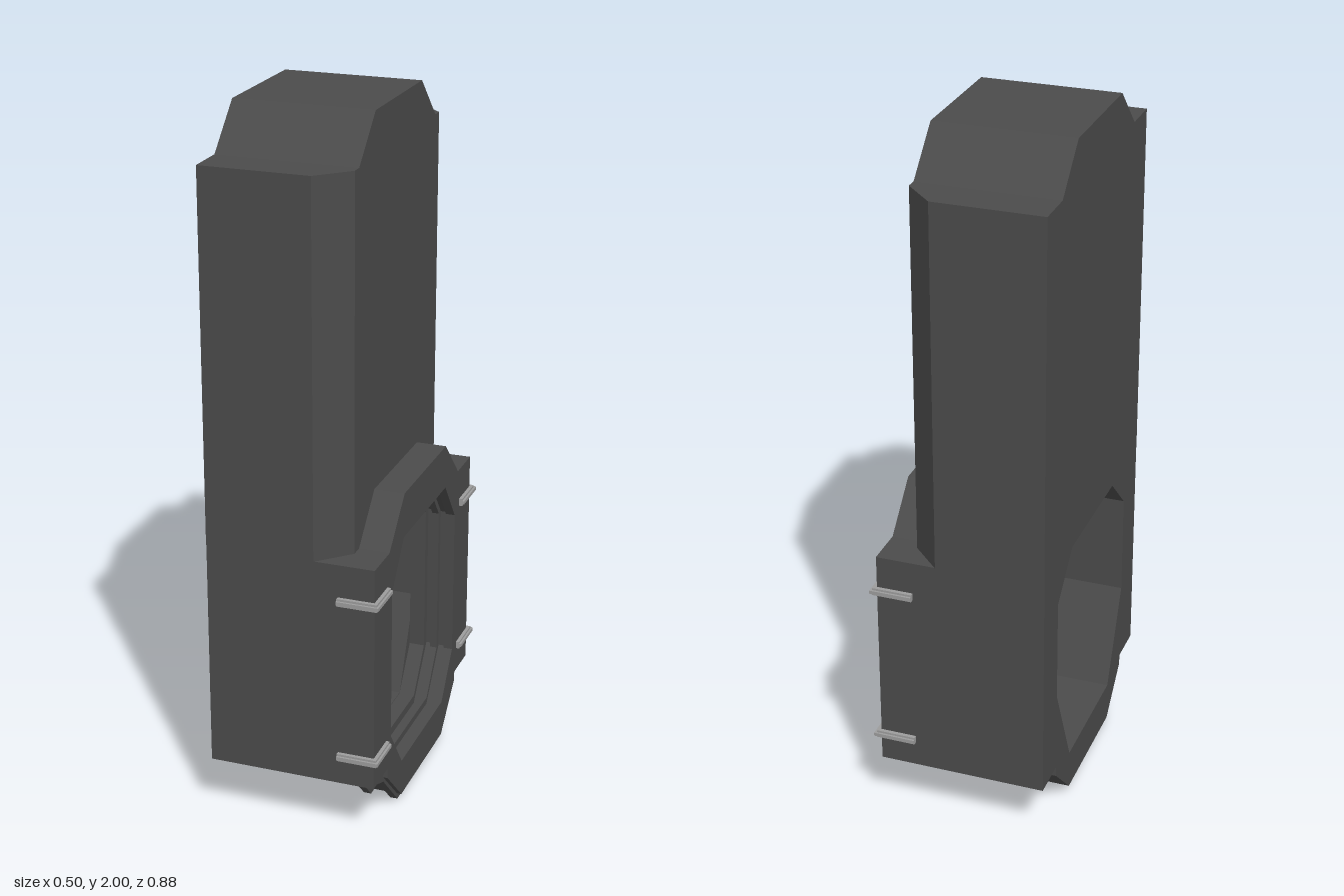
import * as THREE from 'three';

const bodyMat = new THREE.MeshStandardMaterial({ color: 0x4b4b4b });
bodyMat.name = 'dark grey';
const clipMat = new THREE.MeshStandardMaterial({ color: 0x9c9c9c });
clipMat.name = 'light grey';

// Full closed outline from the +z half, listed from bottom to top
const mirrored = (half) => [...half, ...half.map(([z, y]) => [-z, y]).reverse()];
const toPoints = (pts) => pts.map(([a, b]) => new THREE.Vector2(a, b));

// Extrude a symmetric (z, y) outline along x from x0 to x1
function slab(name, half, x0, x1, holeHalf) {
  const shape = new THREE.Shape(toPoints(mirrored(half)));
  if (holeHalf) shape.holes.push(new THREE.Path(toPoints(mirrored(holeHalf))));
  const geo = new THREE.ExtrudeGeometry(shape, { depth: x1 - x0, bevelEnabled: false });
  geo.rotateY(Math.PI / 2);
  geo.translate(x0, 0, 0);
  const mesh = new THREE.Mesh(geo, bodyMat);
  mesh.name = name;
  return mesh;
}

// Extrude an (x, z) plan upward from y0 to y1
function column(name, plan, y0, y1, mat) {
  const shape = new THREE.Shape(plan.map(([x, z]) => new THREE.Vector2(x, -z)));
  const geo = new THREE.ExtrudeGeometry(shape, { depth: y1 - y0, bevelEnabled: false });
  geo.rotateX(-Math.PI / 2);
  geo.translate(0, y0, 0);
  const mesh = new THREE.Mesh(geo, mat);
  mesh.name = name;
  return mesh;
}

export function createModel() {
  const model = new THREE.Group();
  model.name = 'housing';

  // Tall tower with bevelled corners on the +x side
  model.add(column('tower', [
    [-0.25, 0.425], [0.06, 0.425], [0.145, 0.34],
    [0.145, -0.34], [0.06, -0.425], [-0.25, -0.425],
  ], 0.83, 1.88, bodyMat));
  model.add(slab('towerCap', [[0.308, 1.88], [0.186, 2.0]], -0.25, 0.145));

  // Lower block with a wide opening toward -x
  const foot = [[0.184, 0.02], [0.306, 0.14], [0.306, 0.17], [0.423, 0.17], [0.423, 0.83]];
  const rearHole = [[0.184, 0.137], [0.306, 0.41], [0.306, 0.71], [0.184, 0.825]];
  model.add(slab('lowerBlock', foot, -0.25, 0.1, rearHole));

  // Octagonal bore, stepped by an inset measured from the tightest ring
  const bore = (o) => [
    [0.184, 0.135 - o], [0.274 + o, 0.26], [0.274 + o, 0.70], [0.184, 0.82 + o],
  ];
  model.add(slab('innerLip', foot, 0.1, 0.145, bore(0)));

  // Collar with a raised hump and a grooved bore
  const collar = [...foot, [0.304, 0.83], [0.182, 0.955]];
  for (const [x0, x1, o] of [
    [0.145, 0.165, 0.025], [0.165, 0.185, 0],
    [0.185, 0.205, 0.02], [0.205, 0.232, 0.006],
  ]) model.add(slab('collarRing', collar, x0, x1, bore(o)));

  // Two narrow ribs under the collar
  const rib = [[0.18, 0], [0.304, 0.125], [0.42, 0.17]];
  const ribInner = [[0.306, 0.18], [0.184, 0.06]];
  for (const x of [0.117, 0.197]) model.add(slab('bottomRib', [...rib, ...ribInner], x, x + 0.022));

  // L-shaped clips wrapped around the collar edges, each with a thin ridge
  const clipPlan = (s, o) => {
    const pts = [
      [0.128, 0.418], [0.227, 0.418], [0.227, 0.32],
      [0.242 + o, 0.32], [0.242 + o, 0.434 + o], [0.128, 0.434 + o],
    ];
    return pts.map(([x, z]) => [x, s * z]);
  };
  for (const s of [1, -1]) {
    for (const y of [0.255, 0.725]) {
      const clip = new THREE.Group();
      clip.name = 'clip';
      clip.add(column('clipBand', clipPlan(s, 0), y - 0.011, y + 0.011, clipMat));
      clip.add(column('clipRidge', clipPlan(s, 0.006), y - 0.005, y + 0.005, clipMat));
      model.add(clip);
    }
  }
  return model;
}
